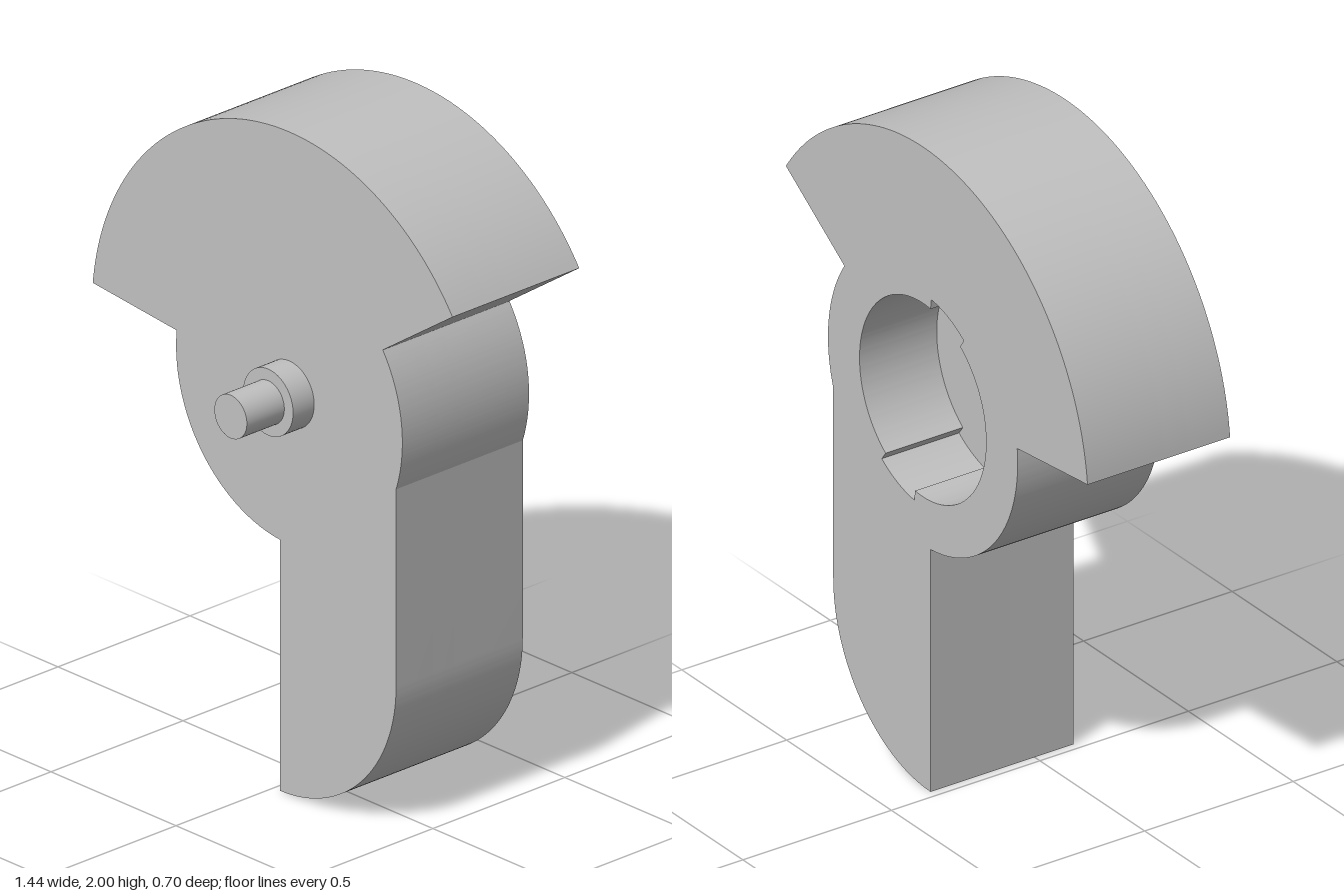
import * as THREE from 'three';
import { toCreasedNormals } from 'three/addons/utils/BufferGeometryUtils.js';

const CX = 0.0625, CY = 1.2075;           // hub axis
const HUB = 0.4525, RIM = 0.79;           // hub and sector radii
const ARM_IN = 0.025, ARM_OUT = 0.49;     // sides of the arm
const rad = THREE.MathUtils.degToRad;

// Cam outline: rounded arm, hub and wide sector
function outline() {
  const s = new THREE.Shape();
  const r = ARM_OUT - ARM_IN;
  const armRight = -Math.acos((ARM_OUT - CX) / HUB);
  const armLeft = 2 * Math.PI - Math.acos((ARM_IN - CX) / HUB);
  s.moveTo(ARM_IN, 0);
  s.absarc(ARM_IN, r, r, -Math.PI / 2, 0, false);
  s.absarc(CX, CY, HUB, armRight, rad(34.2), false);
  s.absarc(CX, CY, RIM, rad(34.2), rad(174.2), false);
  s.absarc(CX, CY, HUB, rad(174.2), armLeft, false);
  s.lineTo(ARM_IN, 0);
  return s;
}

function roundHole(r) {
  return new THREE.Path().absarc(CX, CY, r, 0, Math.PI * 2, true);
}

// Round socket with two opposite, slightly deeper key notches
function keyedHole() {
  const p = new THREE.Path();
  const arcs = [[0.302, -54, 97], [0.333, 97, 126], [0.302, 126, 277], [0.333, 277, 306]];
  for (const [r, a, b] of arcs) p.absarc(CX, CY, r, rad(a), rad(b), false);
  p.closePath();
  return p;
}

export function createModel() {
  const group = new THREE.Group();
  const grey = new THREE.MeshStandardMaterial({ color: 0xc0c0c0 });

  const add = (name, geometry) => {
    const mesh = new THREE.Mesh(geometry, grey);
    mesh.name = name;
    group.add(mesh);
    return mesh;
  };

  // Body in three layers, each with its own step of the socket
  const layers = [
    ['keyedSocketLayer', -0.35, -0.09, keyedHole()],
    ['collarSocketLayer', -0.09, -0.01, roundHole(0.1)],
    ['frontLayer', -0.01, 0.13, roundHole(0.065)],
  ];
  for (const [name, z0, z1, hole] of layers) {
    const shape = outline();
    shape.holes.push(hole);
    const g = new THREE.ExtrudeGeometry(shape, { depth: z1 - z0, bevelEnabled: false, curveSegments: 48 });
    g.translate(0, 0, z0);
    add(name, toCreasedNormals(g, 0.3));
  }

  // Collar and pin on the front
  const pins = [['collar', 0.1, 0.13, 0.21], ['pin', 0.065, 0.21, 0.352]];
  for (const [name, r, z0, z1] of pins) {
    const g = new THREE.CylinderGeometry(r, r, z1 - z0, 48);
    g.rotateX(Math.PI / 2);
    add(name, g).position.set(CX, CY, (z0 + z1) / 2);
  }
  return group;
}
